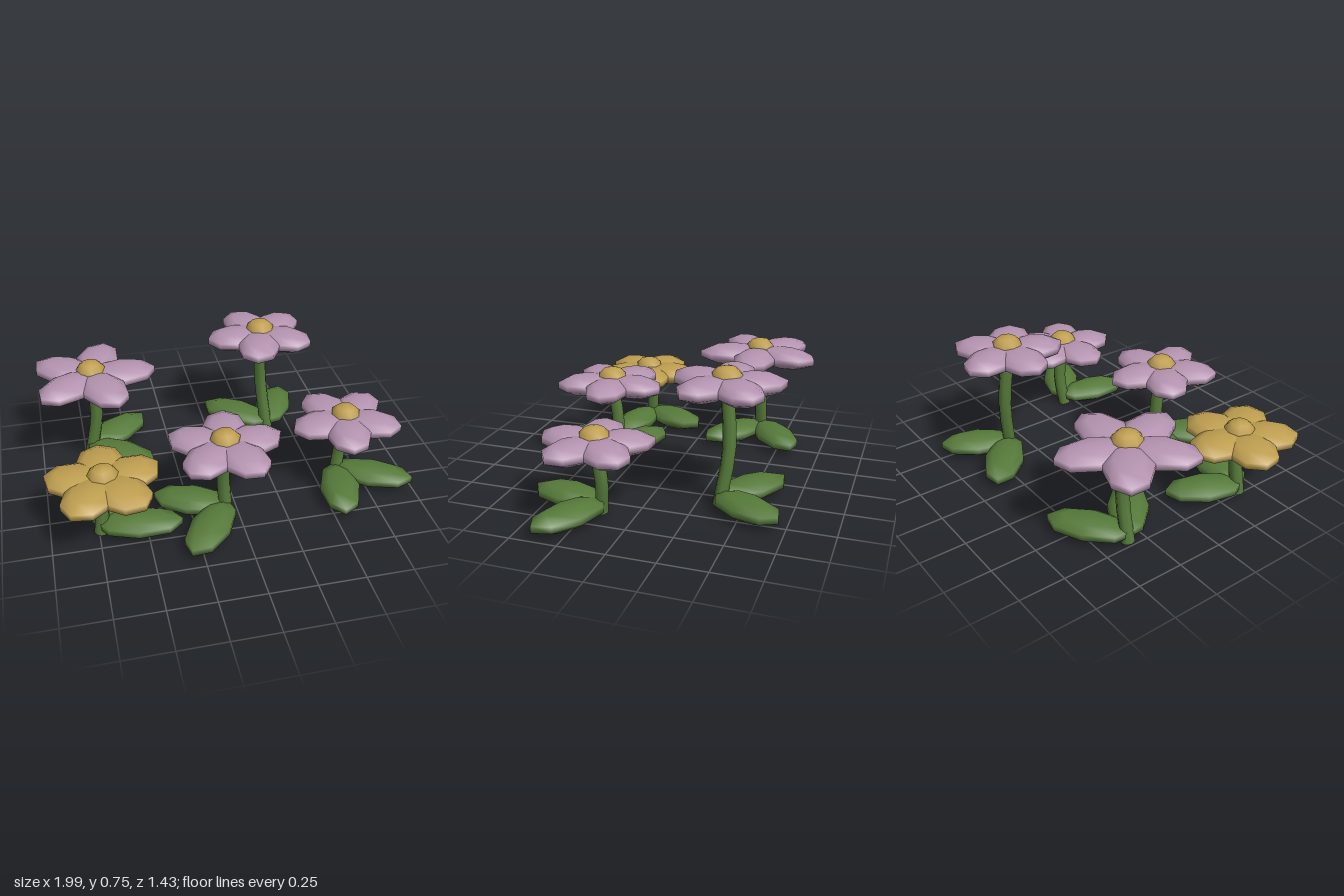
import * as THREE from 'three';

const material = (name, color) => {
  const m = new THREE.MeshStandardMaterial({ color });
  m.name = name;
  return m;
};

export function createModel() {
  const garden = new THREE.Group();
  garden.name = 'flowerPatch';

  const purple = material('dusty purple', 0xb594b1);
  const yellow = material('ochre yellow', 0xbf9f50);
  const green = material('leaf green', 0x567a3a);

  // Low-poly ball shared by petals, leaves and flower centres; widest ring scaled to radius 1
  const ball = new THREE.SphereGeometry(1, 8, 5);
  const ring = 1 / Math.sin(Math.PI * 0.4);
  ball.scale(ring, 1, ring);

  // Flattened lobe pointing outwards at an angle (degrees, counter-clockwise from above)
  function lobe(name, mat, angle, inner, outer, halfWidth, halfHeight) {
    const pivot = new THREE.Group();
    pivot.name = name;
    pivot.rotation.y = THREE.MathUtils.degToRad(angle);
    const mesh = new THREE.Mesh(ball, mat);
    mesh.name = name + 'Body';
    mesh.position.x = (inner + outer) / 2;
    mesh.scale.set((outer - inner) / 2, halfHeight, halfWidth);
    pivot.add(mesh);
    return pivot;
  }

  function flower({ name, color, head, mid, base, turn, petal, leaves }) {
    const g = new THREE.Group();
    g.name = name;

    // Bent stem, closed at the foot
    const path = new THREE.CatmullRomCurve3([base, mid, head].map(p => new THREE.Vector3(...p)));
    const stem = new THREE.Mesh(new THREE.TubeGeometry(path, 6, 0.036, 8), green);
    stem.name = 'stem';
    g.add(stem);
    const foot = new THREE.Mesh(new THREE.CircleGeometry(0.036, 8), green);
    foot.name = 'stemFoot';
    foot.position.set(...base);
    foot.lookAt(foot.position.clone().sub(path.getTangent(0)));
    g.add(foot);

    // Flower head: five petals around a dome
    const bloom = new THREE.Group();
    bloom.name = 'bloom';
    bloom.position.set(...head);
    for (let i = 0; i < 5; i++) {
      bloom.add(lobe('petal', color, turn + i * 72, -0.02, petal[0], petal[1], 0.058));
    }
    const centre = new THREE.Mesh(ball, yellow);
    centre.name = 'flowerCentre';
    centre.position.y = 0.037;
    centre.scale.set(0.079, 0.06, 0.079);
    bloom.add(centre);
    g.add(bloom);

    // Two leaves spreading from the foot
    for (const [angle, length] of leaves) {
      const leaf = lobe('leaf', green, angle, -0.02, length, 0.107, 0.058);
      leaf.position.set(base[0], 0.068, base[2]);
      g.add(leaf);
    }
    garden.add(g);
  }

  flower({
    name: 'backRightFlower', color: purple, turn: 1, petal: [0.36, 0.12],
    head: [-0.68, 0.54, -0.335], mid: [-0.67, 0.27, -0.35], base: [-0.72, 0.015, -0.35],
    leaves: [[36, 0.425], [-38, 0.43]],
  });
  flower({
    name: 'yellowFlower', color: yellow, turn: 90, petal: [0.308, 0.13],
    head: [-0.705, 0.345, 0.39], mid: [-0.715, 0.2, 0.37], base: [-0.74, 0.015, 0.38],
    leaves: [[65, 0.4], [-9, 0.43]],
  });
  flower({
    name: 'backLeftFlower', color: purple, turn: 38, petal: [0.305, 0.118],
    head: [0.305, 0.66, -0.385], mid: [0.325, 0.33, -0.41], base: [0.36, 0.015, -0.37],
    leaves: [[140, 0.43], [63, 0.39]],
  });
  flower({
    name: 'middleFlower', color: purple, turn: 8, petal: [0.308, 0.118],
    head: [-0.075, 0.465, 0.385], mid: [-0.078, 0.23, 0.355], base: [-0.065, 0.015, 0.365],
    leaves: [[156, 0.4], [234, 0.425]],
  });
  flower({
    name: 'frontLeftFlower', color: purple, turn: 44, petal: [0.305, 0.118],
    head: [0.64, 0.395, 0.195], mid: [0.635, 0.2, 0.165], base: [0.61, 0.015, 0.18],
    leaves: [[-28, 0.435], [-100, 0.4]],
  });

  return garden;
}
